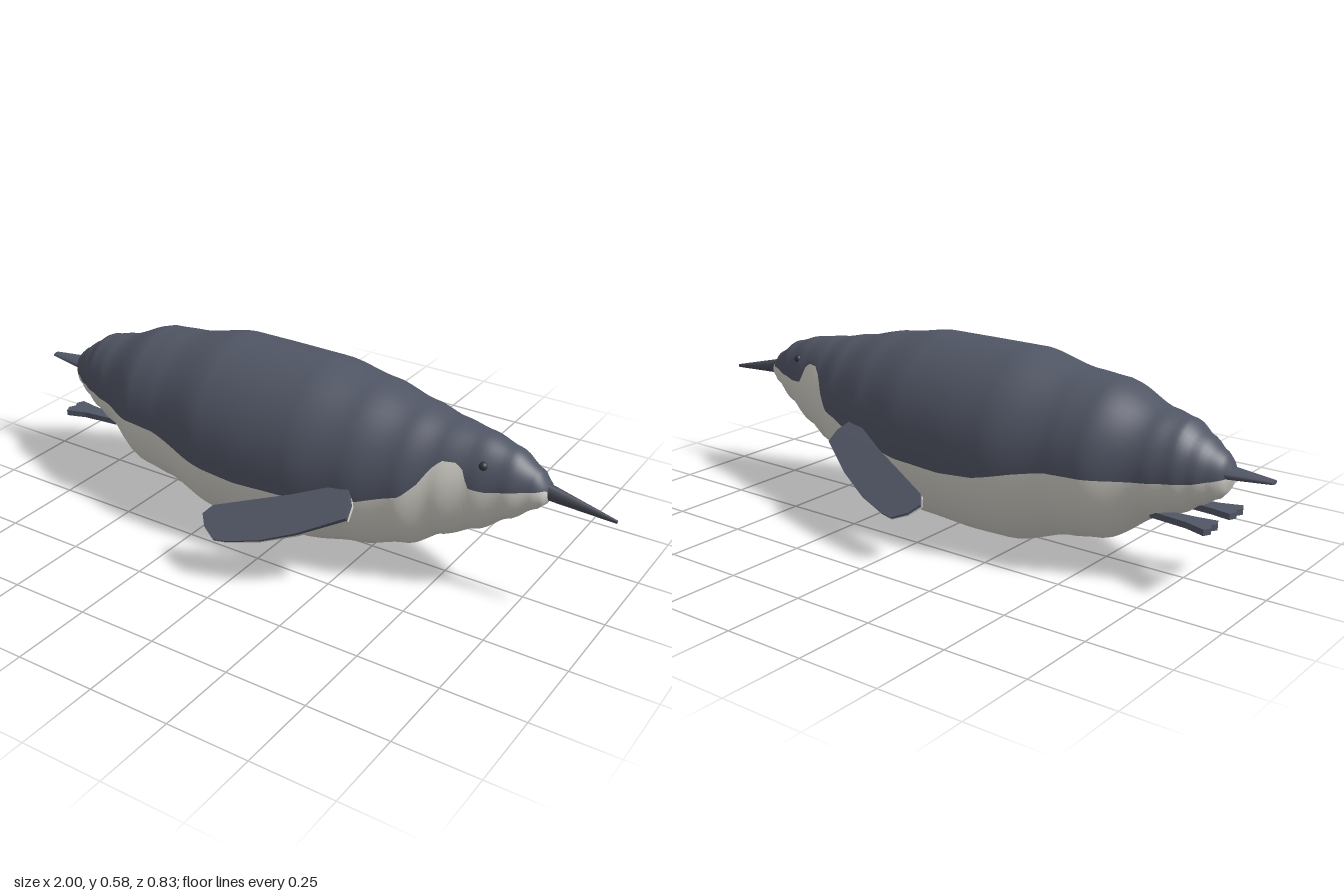
import * as THREE from 'three';

const mat = (name, color, side = THREE.FrontSide) => {
  const m = new THREE.MeshStandardMaterial({ color, side });
  m.name = name;
  return m;
};

// Piecewise interpolation of rows [x, a, b, ...]; ease > 0 gives gentle ripples
function sample(rows, x, ease) {
  let i = 0;
  while (i < rows.length - 2 && x > rows[i + 1][0]) i++;
  const [p, q] = [rows[i], rows[i + 1]];
  let t = THREE.MathUtils.clamp((x - p[0]) / (q[0] - p[0]), 0, 1);
  t = THREE.MathUtils.lerp(t, t * t * (3 - 2 * t), ease);
  return p.slice(1).map((v, k) => v + (q[k + 1] - v) * t);
}

// Body stations: x, top y, bottom y, half width
const PROFILE = [
  [-0.885, 0.335, 0.333, 0.002], [-0.878, 0.37, 0.29, 0.035], [-0.85, 0.395, 0.26, 0.06],
  [-0.8, 0.43, 0.232, 0.09], [-0.75, 0.465, 0.2, 0.115], [-0.68, 0.48, 0.17, 0.14],
  [-0.52, 0.54, 0.075, 0.208], [-0.42, 0.548, 0.06, 0.217], [-0.23, 0.585, 0.006, 0.258],
  [-0.1, 0.585, 0.004, 0.26], [0.09, 0.585, 0.013, 0.252], [0.26, 0.56, 0.046, 0.222],
  [0.41, 0.528, 0.088, 0.182], [0.51, 0.508, 0.148, 0.14], [0.61, 0.494, 0.195, 0.107],
  [0.7, 0.468, 0.255, 0.08], [0.77, 0.425, 0.305, 0.05], [0.8, 0.39, 0.33, 0.033],
  [0.81, 0.362, 0.36, 0.002],
];
// Height where the dark back meets the pale belly, with the cheek patch
const EDGE = [
  [-0.885, 0.33], [-0.8, 0.312], [-0.65, 0.303], [-0.42, 0.3], [-0.32, 0.28], [-0.2, 0.25],
  [-0.08, 0.24], [0.08, 0.245], [0.3, 0.275], [0.38, 0.3], [0.43, 0.315], [0.47, 0.355],
  [0.5, 0.405], [0.525, 0.43], [0.565, 0.43], [0.588, 0.41], [0.602, 0.365], [0.65, 0.36],
  [0.74, 0.372], [0.81, 0.38],
];

// Rings whose points split exactly at the colour edge
function bodyGeometry() {
  const N = 150, M = 20, R = 2 * M, pos = [], back = [], belly = [];
  for (let i = 0; i <= N; i++) {
    const x = -0.885 + 1.695 * i / N;
    const [top, bottom, rz] = sample(PROFILE, x, 0.65);
    const cy = (top + bottom) / 2, ry = (top - bottom) / 2;
    const s = THREE.MathUtils.clamp((sample(EDGE, x, 0)[0] - cy) / ry, -0.97, 0.97);
    const a = Math.asin(s);
    for (let j = 0; j < R; j++) {
      const th = j < M ? a + (Math.PI - 2 * a) * j / M
        : Math.PI - a + (Math.PI + 2 * a) * (j - M) / M;
      pos.push(x, cy + ry * Math.sin(th), rz * Math.cos(th));
    }
  }
  for (let i = 0; i < N; i++) for (let j = 0; j < R; j++) {
    const a = i * R + j, b = i * R + (j + 1) % R;
    (j < M ? back : belly).push(a, a + R, b, b, a + R, b + R);
  }
  const g = new THREE.BufferGeometry();
  g.setAttribute('position', new THREE.Float32BufferAttribute(pos, 3));
  g.setIndex([...back, ...belly]);
  g.addGroup(0, back.length, 0);
  g.addGroup(back.length, belly.length, 1);
  g.computeVertexNormals();
  return g;
}

// Flipper outline: x along the body, then distance outwards from the shoulder
const FLIPPER = [
  [0.28, -0.04], [0.315, 0.015], [0.322, 0.06], [0.2, 0.146], [0.1, 0.2], [0, 0.235],
  [-0.04, 0.242], [-0.085, 0.215], [-0.11, 0.18], [-0.09, 0.147], [0, 0.105],
  [0.13, 0.045], [0.25, -0.02],
];
const FOOT = [
  [-0.68, 0.05], [-0.8, 0.042], [-0.862, 0.032], [-0.872, 0.055], [-0.862, 0.072],
  [-0.873, 0.092], [-0.862, 0.115], [-0.8, 0.094], [-0.68, 0.08],
];
const outline = pts => new THREE.Shape(pts.map(p => new THREE.Vector2(...p)));

// One tapering layer of a flipper; above picks the upper or lower half
function flipperLayer(side, above, thick) {
  const g = new THREE.ExtrudeGeometry(outline(FLIPPER), { depth: thick, bevelEnabled: false });
  const up = -side;
  if ((up > 0) !== above) g.translate(0, 0, -thick);
  const p = g.attributes.position;
  for (let i = 0; i < p.count; i++)
    p.setZ(i, p.getZ(i) * (1 - 0.7 * THREE.MathUtils.clamp(p.getY(i) / 0.24, 0, 1)));
  g.applyMatrix4(new THREE.Matrix4().makeBasis(
    new THREE.Vector3(1, 0, 0),
    new THREE.Vector3(0, -0.62, 0.785 * side),
    new THREE.Vector3(0, -0.785 * side, -0.62)));
  g.translate(0, 0.287, 0.22 * side);
  g.computeVertexNormals();
  return g;
}

export function createModel() {
  const dark = mat('slate back', 0x515665);
  const pale = mat('pale belly', 0xd2d0c8);
  const horn = mat('dark horn', 0x484b56);
  const black = mat('eye dark', 0x2e323c);

  const group = new THREE.Group();
  const add = (name, geo, material, parent = group) => {
    const m = new THREE.Mesh(geo, material);
    m.name = name;
    parent.add(m);
    return m;
  };

  add('body', bodyGeometry(), [dark, pale]);

  // Beak: slim cone tilting slightly down
  const beak = add('beak', new THREE.CylinderGeometry(0.005, 0.026, 0.22, 16), horn);
  beak.scale.z = 0.8;
  beak.position.set(0.89, 0.351, 0);
  beak.rotation.z = -Math.PI / 2 - 0.15;

  // Tail: flattened cone
  const tail = add('tail', new THREE.CylinderGeometry(0.014, 0.042, 0.15, 16), dark);
  tail.scale.x = 0.42;
  tail.position.set(-0.925, 0.337, 0);
  tail.rotation.z = Math.PI / 2;

  for (const side of [1, -1]) {
    const label = side > 0 ? 'left' : 'right';

    const flipper = new THREE.Group();
    flipper.name = label + 'Flipper';
    group.add(flipper);
    add('flipperTop', flipperLayer(side, true, 0.02), dark, flipper);
    add('flipperUnderside', flipperLayer(side, false, 0.014), pale, flipper);

    // Webbed foot trailing behind
    const pts = FOOT.map(([x, z]) => [x, -side * z]);
    const foot = new THREE.ExtrudeGeometry(outline(pts), { depth: 0.018, bevelEnabled: false });
    foot.rotateX(-Math.PI / 2);
    foot.translate(0, 0.191, 0);
    add(label + 'Foot', foot, dark);

    const eye = add(label + 'Eye', new THREE.SphereGeometry(0.013, 16, 12), black);
    eye.position.set(0.635, 0.43, 0.077 * side);
  }
  return group;
}
